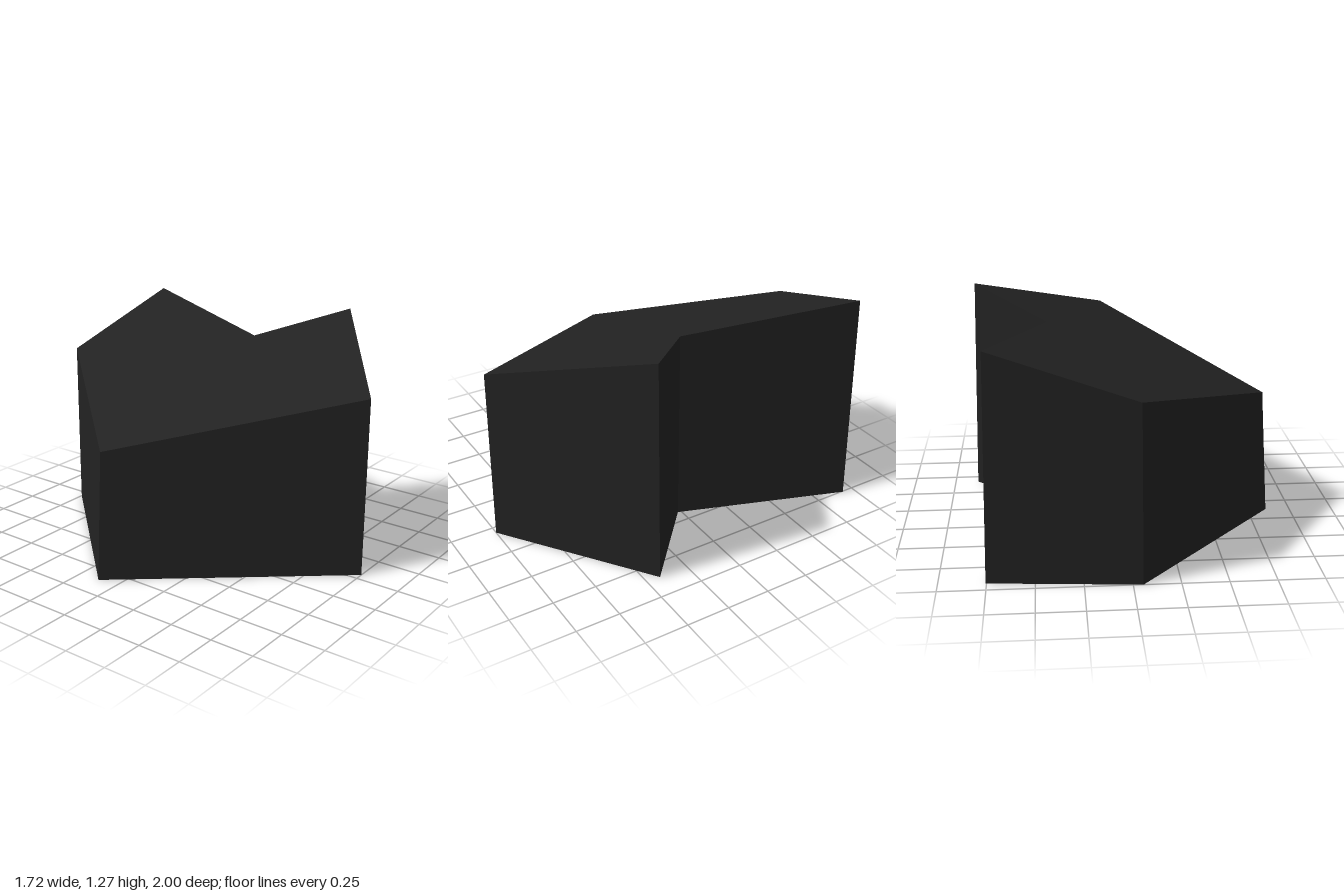
import * as THREE from 'three';

// Ground outline of the block as [x, z]
const FOOTPRINT = [
  [-0.86, -0.12], [0.05, 1.0], [0.86, 0.42],
  [0.417, 0.02], [0.755, -0.93], [-0.053, -1.0],
];

// Slanted top: height rises steadily towards +x
const topHeight = (x) => 0.997 + 0.329 * x;

export function createModel() {
  const charcoal = new THREE.MeshStandardMaterial({ color: 0x222222, flatShading: true });
  charcoal.name = 'charcoal';

  // Upright prism over the footprint
  const outline = new THREE.Shape(FOOTPRINT.map(([x, z]) => new THREE.Vector2(x, -z)));
  const geometry = new THREE.ExtrudeGeometry(outline, { depth: 1, bevelEnabled: false });
  geometry.rotateX(-Math.PI / 2);

  // Taper the top ring along x and lift it onto the slanted plane
  const pos = geometry.attributes.position;
  for (let i = 0; i < pos.count; i++) {
    if (pos.getY(i) < 0.5) {
      pos.setY(i, 0);
      continue;
    }
    const x = 0.953 * pos.getX(i) + 0.01;
    pos.setX(i, x);
    pos.setY(i, topHeight(x));
  }
  geometry.computeVertexNormals();

  const block = new THREE.Mesh(geometry, charcoal);
  block.name = 'notchedBlock';

  const model = new THREE.Group();
  model.name = 'slantedBlock';
  model.add(block);
  return model;
}
